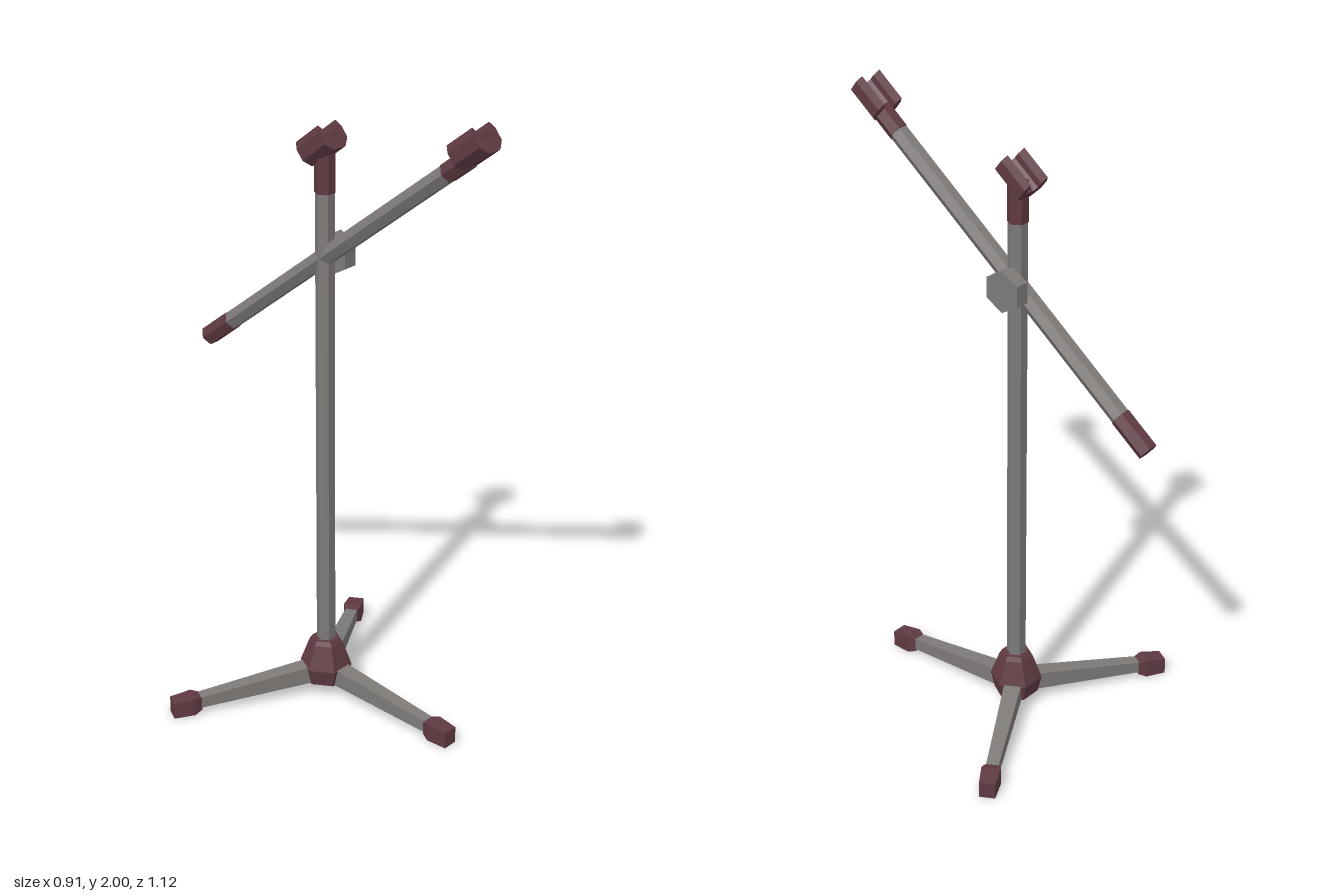
import * as THREE from 'three';

const grey = new THREE.MeshStandardMaterial({ color: 0x7d7a78, flatShading: true });
const maroon = new THREE.MeshStandardMaterial({ color: 0x5f3a42, flatShading: true });

const POLE_Z = -0.05;
const TILT = 0.908; // boom lean from vertical, towards the front

function add(parent, name, geometry, material) {
  const mesh = new THREE.Mesh(geometry, material);
  mesh.name = name;
  parent.add(mesh);
  return mesh;
}

// Six-sided rod along y, corners on +x and -x
function hexRod(rBottom, rTop, y0, y1) {
  return new THREE.CylinderGeometry(rTop, rBottom, y1 - y0, 6)
    .rotateY(Math.PI / 6)
    .translate(0, (y0 + y1) / 2, 0);
}

// Closed solid along z from rectangular sections [z, width, yLow, yHigh]
function loft(sections) {
  const pos = [], index = [];
  for (const [z, w, lo, hi] of sections) {
    pos.push(-w / 2, lo, z, w / 2, lo, z, w / 2, hi, z, -w / 2, hi, z);
  }
  for (let s = 0; s < sections.length - 1; s++) {
    for (let i = 0; i < 4; i++) {
      const a = s * 4 + i, b = s * 4 + (i + 1) % 4;
      index.push(a, b, b + 4, a, b + 4, a + 4);
    }
  }
  const e = (sections.length - 1) * 4;
  index.push(0, 2, 1, 0, 3, 2, e, e + 1, e + 2, e, e + 2, e + 3);
  const g = new THREE.BufferGeometry();
  g.setAttribute('position', new THREE.Float32BufferAttribute(pos, 3));
  g.setIndex(index);
  g.computeVertexNormals();
  return g;
}

// Open U-shaped cradle: channel along y, opening towards -z
function cradleGeometry() {
  const half = [[0.025, -0.041], [0.049, -0.017], [0.049, 0.02], [0.037, 0.042], [0.025, 0.02], [0.025, 0], [0.013, -0.012]];
  const mirrored = half.map(([x, y]) => [-x, y]).reverse();
  const shape = new THREE.Shape([...half, ...mirrored].map(([x, y]) => new THREE.Vector2(x, y)));
  return new THREE.ExtrudeGeometry(shape, { depth: 0.11, bevelEnabled: false })
    .translate(0, 0, -0.055)
    .rotateX(-Math.PI / 2);
}

export function createModel() {
  const model = new THREE.Group();
  model.name = 'boomStand';

  const stand = new THREE.Group();
  stand.name = 'stand';
  stand.position.z = POLE_Z;
  model.add(stand);

  // Tripod base
  const hub = new THREE.Group();
  hub.name = 'hub';
  stand.add(hub);
  add(hub, 'hubLower', hexRod(0.07, 0.083, 0.045, 0.1), maroon);
  add(hub, 'hubUpper', hexRod(0.083, 0.054, 0.1, 0.178), maroon);
  add(hub, 'hubRim', hexRod(0.054, 0.045, 0.178, 0.192), maroon);

  for (let i = 0; i < 3; i++) {
    const leg = new THREE.Group();
    leg.name = 'leg' + (i + 1);
    leg.rotation.y = i * Math.PI * 2 / 3;
    stand.add(leg);
    add(leg, 'legBar', loft([[0.03, 0.056, 0.048, 0.108], [0.45, 0.038, 0.017, 0.053]]), grey);
    add(leg, 'foot', loft([[0.42, 0.04, 0.012, 0.056], [0.445, 0.06, 0.003, 0.062], [0.512, 0.05, 0, 0.053]]), maroon);
  }

  // Upright pole
  add(stand, 'pole', hexRod(0.03, 0.03, 0.15, 1.69), grey);
  add(stand, 'poleGrip', hexRod(0.032, 0.032, 1.68, 1.81), maroon);
  const poleCradle = add(stand, 'poleCradle', cradleGeometry(), maroon);
  poleCradle.position.set(0, 1.825, -0.01);
  poleCradle.rotation.x = TILT;

  // Clamp knob on the side of the joint
  const knob = add(stand, 'clampKnob',
    new THREE.CylinderGeometry(0.066, 0.066, 0.047, 6).rotateY(Math.PI / 2).rotateZ(-Math.PI / 2), grey);
  knob.position.set(0.048, 1.48, 0);

  // Tilted boom
  const boom = new THREE.Group();
  boom.name = 'boom';
  boom.position.y = 1.48;
  boom.rotation.x = TILT;
  stand.add(boom);
  add(boom, 'boomBar', hexRod(0.03, 0.03, -0.5, 0.59), grey);
  add(boom, 'rearGrip', hexRod(0.032, 0.032, -0.62, -0.49), maroon);
  add(boom, 'frontGrip', hexRod(0.032, 0.032, 0.58, 0.67), maroon);
  add(boom, 'boomCradle', cradleGeometry(), maroon).position.set(0, 0.708, -0.017);

  return model;
}
